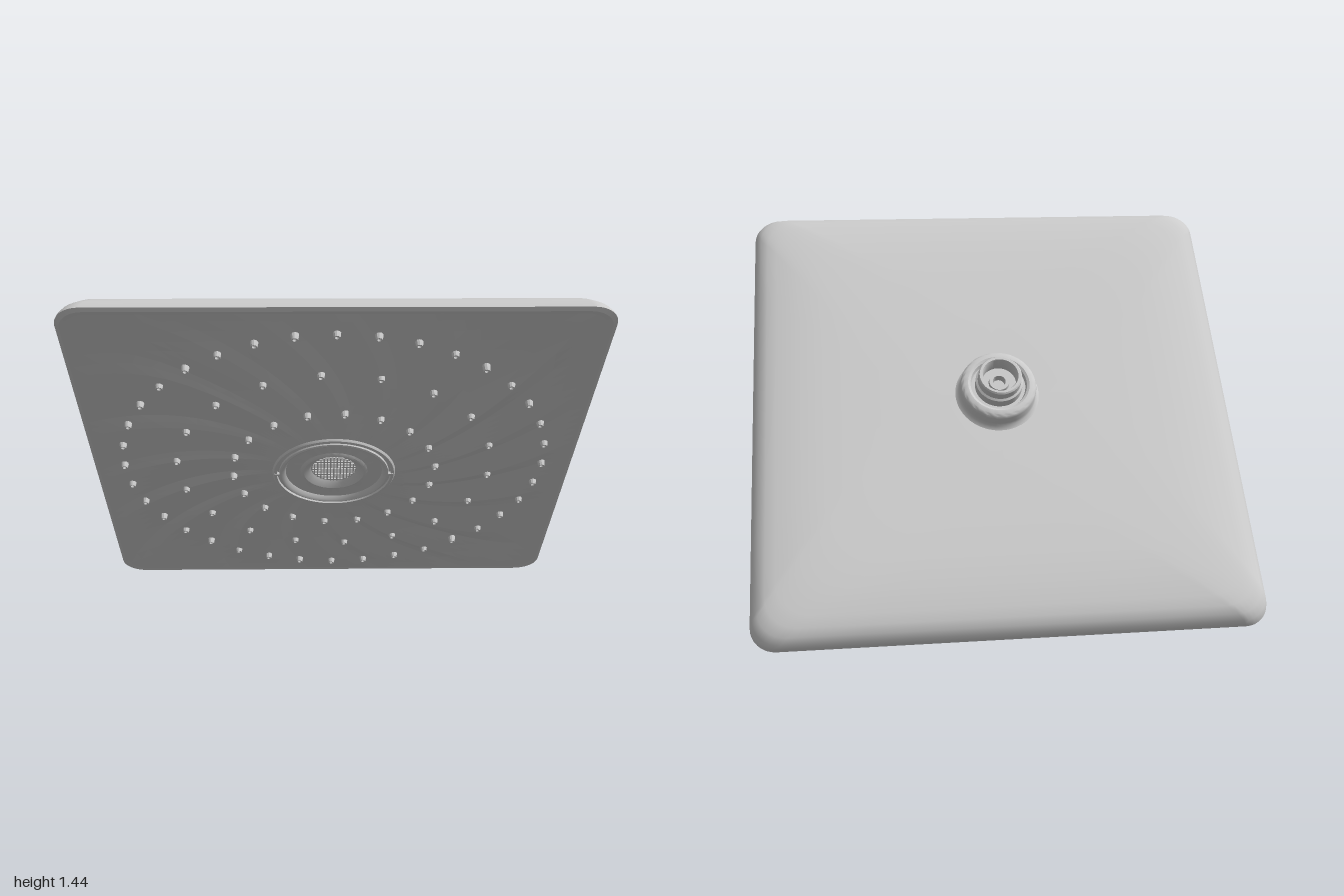
import * as THREE from 'three';
import { toCreasedNormals } from 'three/addons/utils/BufferGeometryUtils.js';

const V = (x, y, z) => new THREE.Vector3(x, y, z);

// Skin a list of closed rings, running from the front centre over the rim to the back centre
function skin(rings) {
  const n = rings[0].length, pos = [], idx = [];
  rings.forEach(r => r.forEach(p => pos.push(p.x, p.y, p.z)));
  for (let i = 0; i < rings.length - 1; i++) {
    for (let j = 0; j < n; j++) {
      const k = (j + 1) % n, a = i * n + j, b = a + n, c = i * n + k, d = c + n;
      idx.push(a, b, c, b, d, c);
    }
  }
  const g = new THREE.BufferGeometry();
  g.setAttribute('position', new THREE.Float32BufferAttribute(pos, 3));
  g.setIndex(idx);
  g.computeVertexNormals();
  return g;
}

// Rounded square ring at height y
function squareRing(half, radius, y) {
  const pts = [], c = half - radius;
  for (let q = 0; q < 4; q++) {
    const mid = Math.PI / 4 + q * Math.PI / 2;
    const cx = Math.sign(Math.cos(mid)) * c, cz = Math.sign(Math.sin(mid)) * c;
    for (let i = 0; i <= 8; i++) {
      const a = (q + i / 8) * Math.PI / 2;
      pts.push(V(cx + Math.cos(a) * radius, y, cz + Math.sin(a) * radius));
    }
    // points along the straight edge to the next corner
    const e = (q + 1) * Math.PI / 2;
    for (let i = 1; i < 6; i++) {
      const s = c * (1 - i / 3);
      pts.push(V(Math.cos(e) * half + Math.sin(e) * s, y, Math.sin(e) * half - Math.cos(e) * s));
    }
  }
  return pts;
}

// Distance from the centre to a rounded square outline along angle a
function squareReach(a, half, radius) {
  const x = Math.abs(Math.cos(a)), z = Math.abs(Math.sin(a)), c = half - radius;
  const r = half / Math.max(x, z);
  if (Math.min(x, z) * r <= c) return r;
  const b = c * (x + z);
  return b + Math.sqrt(b * b - 2 * c * c + radius * radius);
}

const faceDepth = r => -0.058 * THREE.MathUtils.clamp((1 - r) / 0.75, 0, 1);

// Front face pleated into swirling blades
function swirlFace() {
  const blades = 18, per = 8, rows = 14, rings = [];
  for (let i = 0; i <= rows; i++) {
    const t = i / rows, ring = [];
    for (let j = 0; j < blades * per; j++) {
      const a = j / (blades * per) * Math.PI * 2 + 0.5 * t;
      const r = THREE.MathUtils.lerp(0.25, squareReach(a, 0.982, 0.1), t);
      const p = (j % per) / per, blade = Math.floor(j / per);
      const fold = p < 0.75 ? p / 0.75 : (1 - p) / 0.25;
      const amp = 0.012 * (1 + 0.35 * Math.sin(blade * 2.4)) * Math.sin(Math.PI * t);
      ring.push(V(Math.cos(a) * r, faceDepth(r) + (fold - 0.4) * amp - 0.003, Math.sin(a) * r));
    }
    rings.push(ring);
  }
  return skin(rings);
}

const lathe = (pts, seg = 48) =>
  toCreasedNormals(new THREE.LatheGeometry(pts.map(p => new THREE.Vector2(...p)), seg), 0.6);

export function createModel() {
  const model = new THREE.Group();
  const head = new THREE.Group();
  head.name = 'showerHead';
  model.add(head);
  const smooth = new THREE.MeshStandardMaterial({ color: 0xcccccc });
  const faceted = new THREE.MeshStandardMaterial({ color: 0xcccccc, flatShading: true });
  const add = (name, geo, mat = smooth, parent = head) => {
    const m = new THREE.Mesh(geo, mat);
    m.name = name;
    parent.add(m);
    return m;
  };

  // Domed back shell: inset from the rim, height
  const shell = [[0, 0], [0.003, 0.015], [0.011, 0.037], [0.03, 0.064], [0.06, 0.081], [0.1, 0.094],
    [0.19, 0.113], [0.3, 0.123], [0.45, 0.131], [0.7, 0.137], [1, 0.138]];
  add('backShell', skin(shell.map(([d, y]) =>
    squareRing(1 - d, Math.min(0.1 + d * 0.4, 1 - d), y))));

  // Thin lip around the front
  add('rimLip', skin([squareRing(0.97, 0.09, -0.006), squareRing(0.985, 0.095, -0.008),
    squareRing(1, 0.1, 0)]), faceted);
  add('swirlFace', swirlFace(), faceted);

  // Raised centre ring with a recessed bowl
  add('centreRing', lathe([[0, -0.04], [0.095, -0.04], [0.105, -0.05], [0.125, -0.062], [0.132, -0.06],
    [0.14, -0.054], [0.2, -0.055], [0.209, -0.068], [0.219, -0.073], [0.226, -0.07], [0.228, -0.062],
    [0.235, -0.062], [0.237, -0.071], [0.249, -0.069], [0.257, -0.058], [0.26, -0.03]], 64));
  for (const s of [-1, 1]) {
    add('ringTab', new THREE.BoxGeometry(0.02, 0.012, 0.014)).position.set(s * 0.236, -0.067, 0);
  }

  // Fine grid over the centre outlet
  const grid = new THREE.Group();
  grid.name = 'outletGrid';
  head.add(grid);
  for (let i = -6; i <= 6; i++) {
    const o = i * 0.0135, len = 2 * Math.sqrt(0.09 ** 2 - o * o);
    add('gridBar', new THREE.BoxGeometry(len, 0.006, 0.005), smooth, grid).position.set(0, -0.042, o);
    add('gridBar', new THREE.BoxGeometry(0.005, 0.006, len), smooth, grid).position.set(o, -0.042, 0);
  }

  // Three circles of spray nozzles: radius, count, starting angle in degrees
  const nozzles = new THREE.Group();
  nozzles.name = 'nozzles';
  head.add(nozzles);
  const nozzleGeo = lathe([[0, -0.014], [0.006, -0.014], [0.008, -0.022], [0.012, -0.022],
    [0.015, -0.008], [0.017, 0.016]], 10);
  for (const [r, count, start] of [[0.87, 36, 0], [0.65, 18, -5], [0.42, 18, 5]]) {
    for (let i = 0; i < count; i++) {
      const a = THREE.MathUtils.degToRad(start + i * 360 / count);
      add('nozzle', nozzleGeo, smooth, nozzles)
        .position.set(Math.sin(a) * r, faceDepth(r) - 0.002, Math.cos(a) * r);
    }
  }

  // Collar flared into the back shell
  add('collar', lathe([[0.185, 0.128], [0.17, 0.139], [0.159, 0.15], [0.155, 0.165], [0.155, 0.2],
    [0.151, 0.212], [0.142, 0.219], [0.125, 0.221], [0.115, 0.215], [0.11, 0.2], [0, 0.2]]));

  // Hollow threaded inlet with a stepped seat and small bore
  add('inlet', lathe([[0.096, 0.195], [0.096, 0.24], [0.088, 0.246], [0.088, 0.281], [0.083, 0.287],
    [0.073, 0.287], [0.07, 0.281], [0.07, 0.222], [0.042, 0.222], [0.04, 0.236], [0.026, 0.236],
    [0.024, 0.205], [0, 0.205]]));

  // Tilt so the face looks forward and down
  head.rotation.x = -Math.PI / 4;
  head.position.set(0, 0.708, 0.005);
  return model;
}
